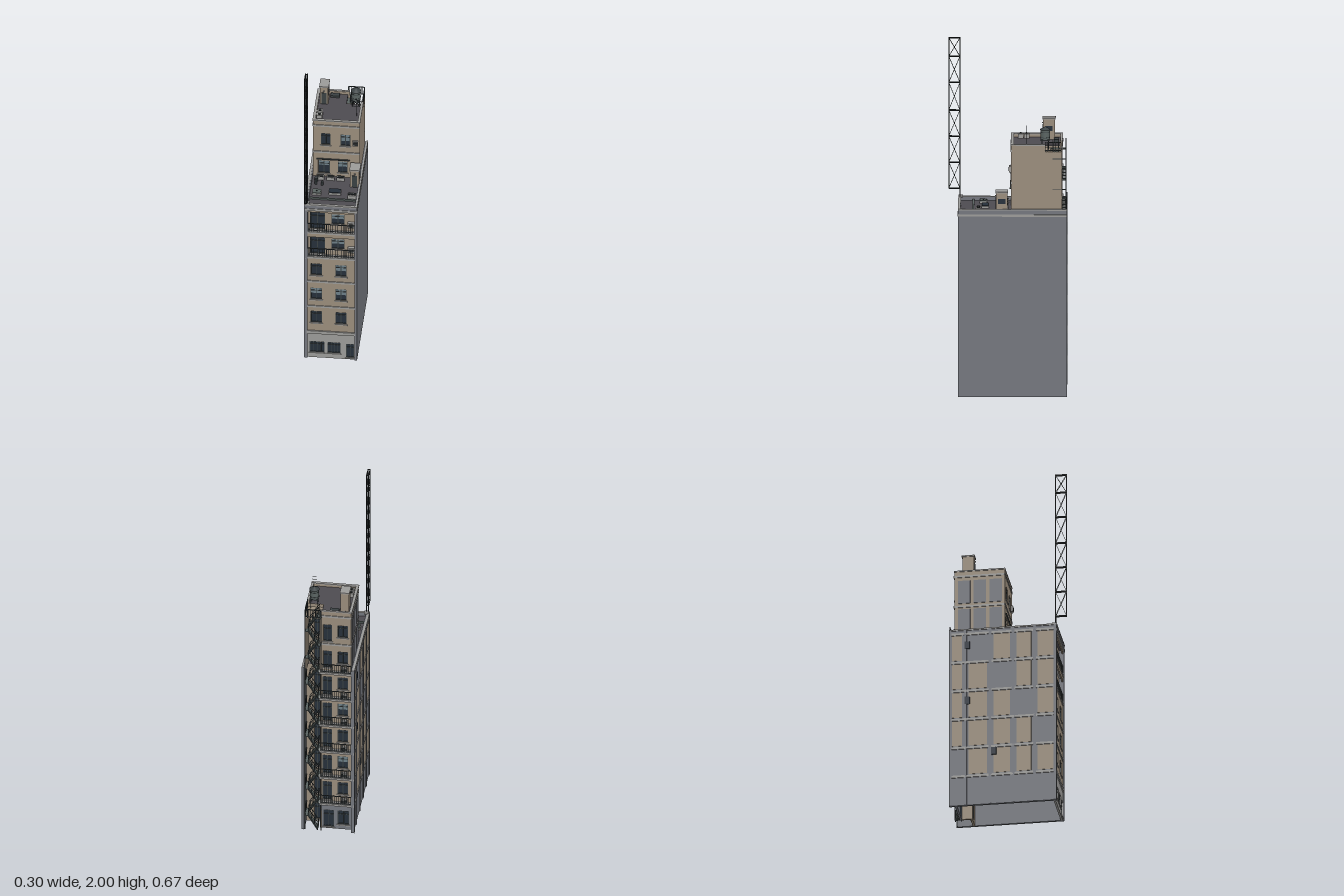
import * as THREE from 'three';

const mats = {};
const mat = c => mats[c] ??= new THREE.MeshStandardMaterial({ color: c, side: THREE.DoubleSide });
const TAN = 0x9a8d7c, WALL = 0x74777e, CONC = 0x9c9b99, ROOF = 0x4e4b51, GLASS = 0x26303a,
  METAL = 0x3a4143, STEEL = 0x5a6462, DARK = 0x262a2b, BLIND = 0x6d7f87;
const FLOORS = [0.18, 0.355, 0.53, 0.705, 0.88, 1.055];

function part(parent, name) {
  const g = new THREE.Group();
  g.name = name;
  parent.add(g);
  return g;
}
function add(g, name, color, geo) {
  const m = new THREE.Mesh(geo, mat(color));
  m.name = name;
  g.add(m);
  return m;
}
// Box given by its two corners
function box(g, name, color, x0, x1, y0, y1, z0, z1) {
  const m = add(g, name, color, new THREE.BoxGeometry(x1 - x0, y1 - y0, z1 - z0));
  m.position.set((x0 + x1) / 2, (y0 + y1) / 2, (z0 + z1) / 2);
  return m;
}
// Square bar between two points
function bar(g, name, a, b, t = 0.003, color = METAL) {
  const p = new THREE.Vector3(...a), q = new THREE.Vector3(...b);
  const m = add(g, name, color, new THREE.BoxGeometry(t, t, p.distanceTo(q)));
  m.position.copy(p).lerp(q, 0.5);
  m.lookAt(q);
}
function cyl(g, name, color, x, y0, y1, z, r, rTop = r, n = 16) {
  const m = add(g, name, color, new THREE.CylinderGeometry(rTop, r, y1 - y0, n));
  m.position.set(x, (y0 + y1) / 2, z);
  return m;
}
// Railing from a to b (a and b at foot level)
function railing(g, a, b, h = 0.055, n = 10) {
  const r = part(g, 'railing');
  const up = (p, d) => [p[0], p[1] + d, p[2]];
  bar(r, 'handrail', up(a, h), up(b, h), 0.004);
  bar(r, 'bottomRail', up(a, 0.008), up(b, 0.008), 0.003);
  for (let i = 0; i <= n; i++) {
    const p = a.map((v, k) => v + (b[k] - v) * i / n);
    bar(r, 'baluster', p, up(p, h), i % 5 ? 0.002 : 0.004);
  }
}
// Wall facing +z (dir 1) or -z (dir -1) with window openings [x0, x1, y0, y1, blind]
function wall(g, name, color, x0, x1, y0, y1, z, dir, openings) {
  const w = part(g, name), T = 0.012;
  const rect = (P, a, b, c, d) => new P([[a, c], [b, c], [b, d], [a, d]].map(p => new THREE.Vector2(...p)));
  const shape = rect(THREE.Shape, x0, x1, y0, y1);
  openings.forEach(o => shape.holes.push(rect(THREE.Path, ...o.slice(0, 4))));
  const m = add(w, 'wallPanel', color, new THREE.ExtrudeGeometry(shape, { depth: T, bevelEnabled: false }));
  m.position.z = dir > 0 ? z - T : z;
  openings.forEach(([a, b, c, d, blind], i) => {
    const o = part(w, 'window' + i);
    const zb = (n, col, p, q, r, s, u, v) => box(o, n, col, p, q, r, s, z + Math.min(u * dir, v * dir), z + Math.max(u * dir, v * dir));
    zb('glass', GLASS, a, b, c, d, -0.011, -0.008);
    const f = 0.004, mid = (a + b) / 2;
    for (const x of [a, mid - f / 2, b - f]) zb('frameUpright', METAL, x, x + f, c, d, -0.009, -0.004);
    for (const y of [c, c + (d - c) * 0.72, d - f]) zb('frameRail', METAL, a, b, y, y + f, -0.009, -0.004);
    if (blind) zb('blind', BLIND, a + f, b - f, c + (d - c) * (1 - blind), d - f, -0.008, -0.006);
    zb('sill', CONC, a - 0.005, b + 0.005, c - 0.006, c, -0.004, 0.005);
  });
}
function airUnit(g, x, y, z, w, h, d) {
  const a = part(g, 'airConditioner');
  box(a, 'case', CONC, x - w / 2, x + w / 2, y, y + h, z - d / 2, z + d / 2);
  box(a, 'grille', DARK, x - w * 0.38, x + w * 0.38, y + h * 0.2, y + h * 0.8, z - d / 2 - 0.002, z + d / 2 + 0.002);
}
function fanBox(g, x, y, z, w, n) {
  const f = part(g, 'roofFanUnit');
  box(f, 'case', CONC, x - w / 2, x + w / 2, y, y + 0.025, z - 0.015, z + 0.015);
  for (let i = 0; i < n; i++) cyl(f, 'fan', DARK, x + (i - (n - 1) / 2) * 0.016, y + 0.025, y + 0.029, z, 0.009);
}
function shed(g, name, x0, x1, y0, y1, z0, z1) {
  const s = part(g, name), xm = (x0 + x1) / 2;
  box(s, 'shedWalls', TAN, x0 + 0.004, x1 - 0.004, y0, y1 - 0.008, z0 + 0.004, z1 - 0.004);
  box(s, 'shedRoof', CONC, x0, x1, y1 - 0.008, y1, z0, z1);
  box(s, 'door', METAL, xm - 0.014, xm + 0.014, y0, y0 + 0.08, z1 - 0.004, z1 - 0.001);
  box(s, 'doorLamp', CONC, xm - 0.004, xm + 0.004, y0 + 0.09, y0 + 0.095, z1 - 0.004, z1 + 0.003);
  box(s, 'sideWindow', GLASS, x1 - 0.005, x1 - 0.002, y0 + 0.05, y0 + 0.08, (z0 + z1) / 2 - 0.02, (z0 + z1) / 2 + 0.02);
}

export function createModel() {
  const root = new THREE.Group();
  root.name = 'apartmentBuilding';

  // Party wall on the left, framed wall on the right
  const body = part(root, 'mainBlock');
  box(body, 'leftPartyWall', WALL, 0.133, 0.147, 0, 1.08, -0.333, 0.275);
  box(body, 'leftCopingLine', CONC, 0.14, 0.149, 1.04, 1.052, -0.333, 0.275);
  box(body, 'rightWall', WALL, -0.145, -0.13, 0, 1.08, -0.333, 0.275);
  const zs = [-0.333, -0.24, -0.10, 0.03, 0.15, 0.275];
  zs.forEach((z, i) => {
    const c = Math.min(Math.max(z, -0.325), 0.267);
    box(body, 'rightPier', WALL, -0.15, -0.143, 0, 1.08, c - 0.008, c + 0.008);
    if (i < 5) for (let k = 0; k < 5; k++) if ((i + k) % 5 !== 0)
      box(body, 'rightInfill', TAN, -0.147, -0.143, FLOORS[k] + 0.01, FLOORS[k + 1] - 0.012, z + 0.018, zs[i + 1] - 0.018);
  });
  for (const y of FLOORS) box(body, 'rightFloorBand', CONC, -0.15, -0.143, y - 0.01, y + 0.004, -0.333, 0.275);
  for (const [y, z] of [[0.62, -0.23], [0.30, -0.08], [0.96, -0.23]])
    box(body, 'rightSmallWindow', GLASS, -0.152, -0.14, y, y + 0.045, z - 0.015, z + 0.015);

  // Street front
  const front = part(root, 'front');
  wall(front, 'shopFront', CONC, -0.13, 0.133, 0, 0.18, 0.268, 1,
    [[-0.12, -0.035, 0.035, 0.11, 0], [-0.02, 0.055, 0.035, 0.11, 0], [0.085, 0.13, 0.01, 0.105, 0]]);
  for (const x of [-0.098, -0.058, 0.0, 0.036]) box(front, 'shopMullion', METAL, x, x + 0.003, 0.035, 0.11, 0.258, 0.264);
  box(front, 'shopCornice', CONC, -0.135, 0.14, 0.17, 0.19, 0.262, 0.275);
  const pairs = [0.245, 0.41, 0.58].flatMap((y, i) =>
    [[-0.115, -0.05, y, y + 0.08, i === 1 ? 0.5 : 0], [0.025, 0.087, y, y + 0.08, i ? 0.55 : 0]]);
  wall(front, 'middleFloors', TAN, -0.13, 0.133, 0.18, 0.705, 0.268, 1, pairs);
  for (const y of [0.355, 0.53, 0.70]) box(front, 'floorBand', CONC, -0.135, 0.135, y, y + 0.012, 0.264, 0.272);
  for (const y of [0.705, 0.88]) {
    wall(front, 'balconyWall', TAN, -0.13, 0.133, y, y + 0.175, 0.245, 1,
      [[-0.12, -0.035, y + 0.01, y + 0.13, 0], [0, 0.075, y + 0.05, y + 0.12, 0.5]]);
    box(front, 'balconySlab', CONC, -0.13, 0.133, y - 0.005, y + 0.008, 0.235, 0.273);
    box(front, 'balconySpandrel', TAN, -0.13, 0.133, y + 0.145, y + 0.17, 0.262, 0.27);
    railing(front, [-0.128, y + 0.008, 0.268], [0.131, y + 0.008, 0.268], 0.055, 25);
    airUnit(front, 0.112, y + 0.04, 0.252, 0.038, 0.035, 0.02);
  }

  // Back wall with balconies, set around the stair recess
  const back = part(root, 'back');
  wall(back, 'backGround', WALL, -0.13, 0.05, 0, 0.18, -0.30, -1,
    [[-0.115, -0.05, 0.03, 0.12, 0], [-0.03, 0.03, 0.01, 0.12, 0]]);
  wall(back, 'backUpper', TAN, -0.13, 0.05, 0.18, 1.055, -0.30, -1, FLOORS.slice(0, 5).flatMap((y, i) =>
    [[-0.11, -0.05, y + 0.05, y + 0.13, i % 2 ? 0.5 : 0], [-0.02, 0.035, y + 0.01, y + 0.13, 0]]));
  wall(back, 'recessWall', TAN, 0.04, 0.133, 0, 1.41, -0.24, -1, [0, ...FLOORS, 1.23].map(y => [0.055, 0.09, y + 0.015, y + 0.12, 0]));
  box(back, 'recessSide', TAN, 0.038, 0.05, 0, 1.41, -0.30, -0.23);
  for (const y of FLOORS) {
    box(back, 'balconySlab', CONC, -0.135, 0.05, y - 0.01, y + 0.002, -0.333, -0.295);
    railing(back, [-0.13, y, -0.33], [0.04, y, -0.33], 0.055, 15);
    airUnit(back, -0.09, y + 0.002, -0.312, 0.035, 0.028, 0.016);
  }

  // Fire escape, two flights per storey
  const esc = part(root, 'fireEscape');
  const levels = [0, ...FLOORS, 1.23, 1.41], N = 9;
  const flight = (xa, xb, ya, yb, z) => {
    const f = part(esc, 'stairFlight');
    for (let i = 0; i < N; i++) {
      const x = xa + (xb - xa) * (i + 0.5) / N, y = ya + (yb - ya) * (i + 1) / N;
      box(f, 'tread', STEEL, x - 0.005, x + 0.005, y - 0.003, y, z - 0.015, z + 0.015);
    }
    for (const s of [-0.016, 0.016]) {
      bar(f, 'stringer', [xa, ya, z + s], [xb, yb, z + s], 0.005);
      bar(f, 'handrail', [xa, ya + 0.05, z + s], [xb, yb + 0.05, z + s], 0.003);
      for (const t of [0, 0.33, 0.67, 1]) {
        const x = xa + (xb - xa) * t, y = ya + (yb - ya) * t;
        bar(f, 'railPost', [x, y, z + s], [x, y + 0.05, z + s]);
      }
    }
  };
  for (let i = 0; i < 8; i++) {
    const a = levels[i], b = levels[i + 1], m = (a + b) / 2;
    flight(0.058, 0.112, a, m, -0.31);
    flight(0.112, 0.058, m, b, -0.268);
    box(esc, 'halfLanding', STEEL, 0.112, 0.132, m - 0.004, m, -0.327, -0.25);
    box(esc, 'landing', STEEL, 0.038, 0.06, b - 0.004, b, -0.327, -0.24);
    railing(esc, [0.131, m, -0.326], [0.131, m, -0.25], 0.05, 4);
  }
  for (const x of [0.04, 0.13]) bar(esc, 'post', [x, 0, -0.327], [x, 1.46, -0.327], 0.005);

  // Main roof
  const roof = part(root, 'mainRoof');
  box(roof, 'roofDeck', ROOF, -0.135, 0.14, 1.045, 1.06, -0.24, 0.268);
  box(roof, 'frontParapet', WALL, -0.145, 0.147, 1.05, 1.08, 0.262, 0.275);
  box(roof, 'frontCornice', CONC, -0.145, 0.147, 1.04, 1.055, 0.262, 0.278);
  for (const [a, b] of [[-0.15, -0.137], [0.139, 0.148]]) box(roof, 'coping', CONC, a, b, 1.075, 1.083, -0.333, 0.277);
  box(roof, 'frontCoping', CONC, -0.15, 0.148, 1.075, 1.083, 0.262, 0.277);
  shed(roof, 'roofStairShed', 0.083, 0.142, 1.06, 1.18, -0.003, 0.067);
  for (const x of [-0.085, -0.028, 0.028]) {
    const u = part(roof, 'ventUnit');
    box(u, 'rim', CONC, x - 0.022, x + 0.022, 1.06, 1.08, -0.005, 0.018);
    box(u, 'grille', DARK, x - 0.018, x + 0.018, 1.08, 1.083, -0.002, 0.015);
  }
  for (const [x, z, r] of [[-0.105, 0.03, 0.01], [-0.105, 0.057, 0.007], [-0.07, 0.062, 0.007]])
    cyl(roof, 'ventPipe', METAL, x, 1.06, 1.085, z, r);
  box(roof, 'hatchCurb', CONC, -0.117, -0.067, 1.06, 1.07, 0.115, 0.158);
  box(roof, 'hatchLid', STEEL, -0.114, -0.07, 1.07, 1.075, 0.118, 0.155);
  cyl(roof, 'hatchKnob', DARK, -0.092, 1.075, 1.079, 0.136, 0.004);
  box(roof, 'skylightCurb', CONC, -0.027, 0.043, 1.06, 1.072, 0.105, 0.147);
  box(roof, 'skylightGlass', GLASS, -0.024, 0.04, 1.072, 1.076, 0.108, 0.144);
  fanBox(roof, 0.109, 1.06, 0.162, 0.052, 3);
  box(roof, 'ductRun', STEEL, -0.13, 0.13, 1.06, 1.07, 0.187, 0.197);

  // Upper tower
  const tower = part(root, 'tower');
  wall(tower, 'towerFront', TAN, -0.128, 0.133, 1.055, 1.45, -0.02, 1, [[-0.10, -0.035, 1.08, 1.17, 0.4],
    [0.01, 0.065, 1.09, 1.17, 0.5], [-0.085, -0.03, 1.28, 1.36, 0], [0.025, 0.08, 1.28, 1.36, 0.6]]);
  wall(tower, 'towerBack', TAN, -0.128, 0.05, 1.055, 1.45, -0.305, -1, [1.055, 1.23].flatMap(y =>
    [[-0.11, -0.05, y + 0.05, y + 0.13, 0], [-0.02, 0.03, y + 0.02, y + 0.13, 0]]));
  box(tower, 'towerLeftWall', TAN, 0.122, 0.133, 1.055, 1.45, -0.21, -0.021);
  box(tower, 'towerLeftWallRear', TAN, 0.122, 0.133, 1.055, 1.41, -0.305, -0.21);
  box(tower, 'towerRightWall', TAN, -0.128, -0.117, 1.055, 1.45, -0.304, -0.021);
  for (const y of [1.075, 1.25]) for (const z of [-0.285, -0.195, -0.105])
    box(tower, 'rightPanel', WALL, -0.131, -0.125, y, y + 0.14, z, z + 0.07);
  for (const y of [1.225, 1.41]) {
    box(tower, 'frontBand', CONC, -0.13, 0.134, y, y + 0.012, -0.025, -0.016);
    box(tower, 'rightBand', CONC, -0.132, -0.125, y, y + 0.012, -0.305, -0.02);
    box(tower, 'backBand', CONC, -0.13, 0.05, y, y + 0.012, -0.309, -0.30);
  }
  airUnit(tower, 0.109, 1.29, -0.017, 0.03, 0.035, 0.016);
  box(tower, 'windowCanopy', METAL, -0.11, 0.077, 1.18, 1.185, -0.02, -0.012);

  // Tower roof
  const top = part(root, 'towerRoof');
  box(top, 'deck', ROOF, -0.12, 0.125, 1.42, 1.432, -0.21, -0.03);
  box(top, 'deckRear', ROOF, -0.12, 0.04, 1.42, 1.432, -0.30, -0.21);
  box(top, 'stairLanding', TAN, 0.038, 0.125, 1.40, 1.412, -0.24, -0.21);
  box(top, 'landingRiser', TAN, 0.038, 0.125, 1.41, 1.432, -0.212, -0.208);
  box(top, 'copingFront', CONC, -0.132, 0.135, 1.446, 1.453, -0.035, -0.018);
  box(top, 'copingBack', CONC, -0.132, 0.05, 1.446, 1.453, -0.307, -0.295);
  box(top, 'copingRight', CONC, -0.132, -0.116, 1.446, 1.453, -0.307, -0.018);
  box(top, 'copingLeft', CONC, 0.121, 0.135, 1.446, 1.453, -0.21, -0.018);
  railing(top, [0.13, 1.41, -0.30], [0.13, 1.41, -0.21], 0.055, 6);
  railing(top, [0.042, 1.41, -0.326], [0.13, 1.41, -0.326], 0.055, 6);
  shed(top, 'roofAccessShed', -0.112, -0.058, 1.43, 1.555, -0.267, -0.193);
  box(top, 'ventHatch', METAL, -0.055, -0.005, 1.43, 1.445, -0.285, -0.258);
  for (const z of [-0.105, -0.072]) fanBox(top, -0.098, 1.432, z, 0.032, 1);
  const tank = part(top, 'waterTank');
  cyl(tank, 'tankBody', STEEL, 0.093, 1.475, 1.53, -0.21, 0.026, 0.026, 20);
  cyl(tank, 'tankLid', METAL, 0.093, 1.53, 1.545, -0.21, 0.029, 0.004, 20);
  for (const y of [1.485, 1.515]) cyl(tank, 'tankHoop', METAL, 0.093, y, y + 0.003, -0.21, 0.027, 0.027, 20);
  for (const sx of [-0.018, 0.018]) for (const sz of [-0.018, 0.018])
    bar(tank, 'tankLeg', [0.093 + sx, 1.41, -0.21 + sz], [0.093 + sx, 1.475, -0.21 + sz], 0.004);
  box(tank, 'tankPlatform', METAL, 0.068, 0.118, 1.47, 1.476, -0.235, -0.185);
  const aerial = part(top, 'aerial');
  bar(aerial, 'pole', [0.108, 1.43, -0.105], [0.108, 1.555, -0.105], 0.002);
  for (const [y, h] of [[1.50, 0.018], [1.525, 0.014], [1.545, 0.01]])
    bar(aerial, 'crossArm', [0.108 - h, y, -0.105], [0.108 + h, y, -0.105], 0.002);

  // Tall lattice sign frame at the front corner
  const frame = part(root, 'latticeFrame');
  const ys = [1.13, 1.28, 1.43, 1.58, 1.74, 1.89, 1.997];
  for (const x of [-0.143, -0.132]) {
    for (const z of [0.268, 0.33]) bar(frame, 'chord', [x, 1.13, z], [x, 2, z], 0.005, DARK);
    ys.forEach((y, i) => {
      bar(frame, 'rung', [x, y, 0.268], [x, y, 0.33], 0.005, DARK);
      if (!i) return;
      bar(frame, 'brace', [x, ys[i - 1], 0.268], [x, y, 0.33], 0.002, DARK);
      bar(frame, 'brace', [x, ys[i - 1], 0.33], [x, y, 0.268], 0.002, DARK);
    });
    bar(frame, 'footPost', [x, 1.05, 0.268], [x, 1.13, 0.268], 0.006, DARK);
  }
  for (const y of ys) for (const z of [0.268, 0.33]) bar(frame, 'spacer', [-0.143, y, z], [-0.132, y, z], 0.004, DARK);
  box(frame, 'footPlate', CONC, -0.145, -0.12, 1.08, 1.09, 0.25, 0.275);
  return root;
}
